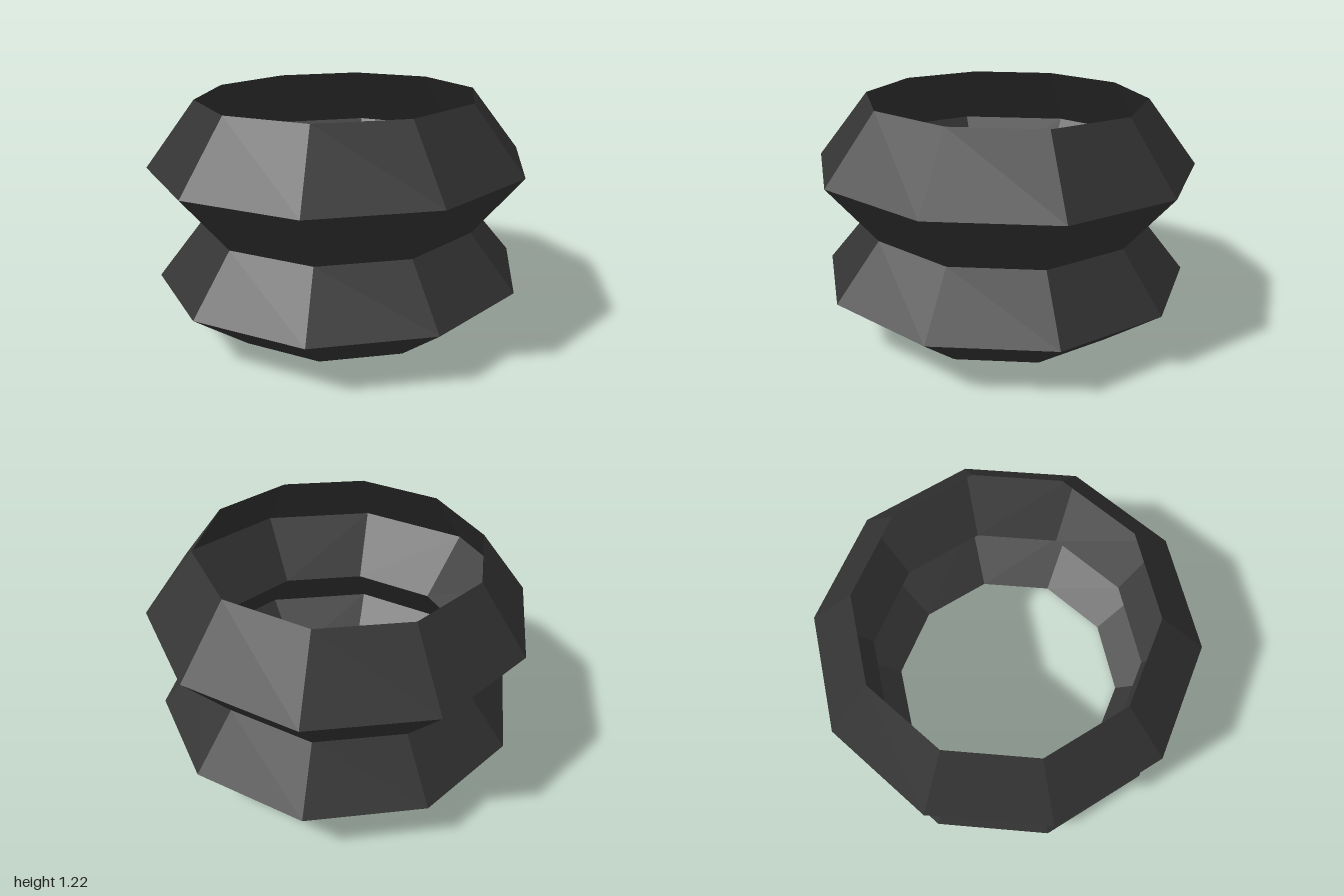
import * as THREE from 'three';

export function createModel() {
  const group = new THREE.Group();
  group.name = 'bellows';

  const darkRubber = new THREE.MeshStandardMaterial({
    color: 0x333333, flatShading: true, side: THREE.DoubleSide,
  });
  darkRubber.name = 'darkRubber';

  // Zigzag wall of two folds, open at both ends: radius, height
  const profile = [
    [0.67, 0.017], [0.98, 0.262], [0.745, 0.55], [1.0, 0.865], [0.735, 1.206],
  ].map(([r, y]) => new THREE.Vector2(r, y));

  // Ten-sided sleeve with a corner on +x, leaning very slightly
  const geometry = new THREE.LatheGeometry(profile, 10, Math.PI / 2);
  geometry.rotateZ(0.02);
  geometry.rotateX(-0.005);
  geometry.translate(0.017, 0, 0.004);

  const sleeve = new THREE.Mesh(geometry, darkRubber);
  sleeve.name = 'foldedSleeve';
  group.add(sleeve);
  return group;
}
